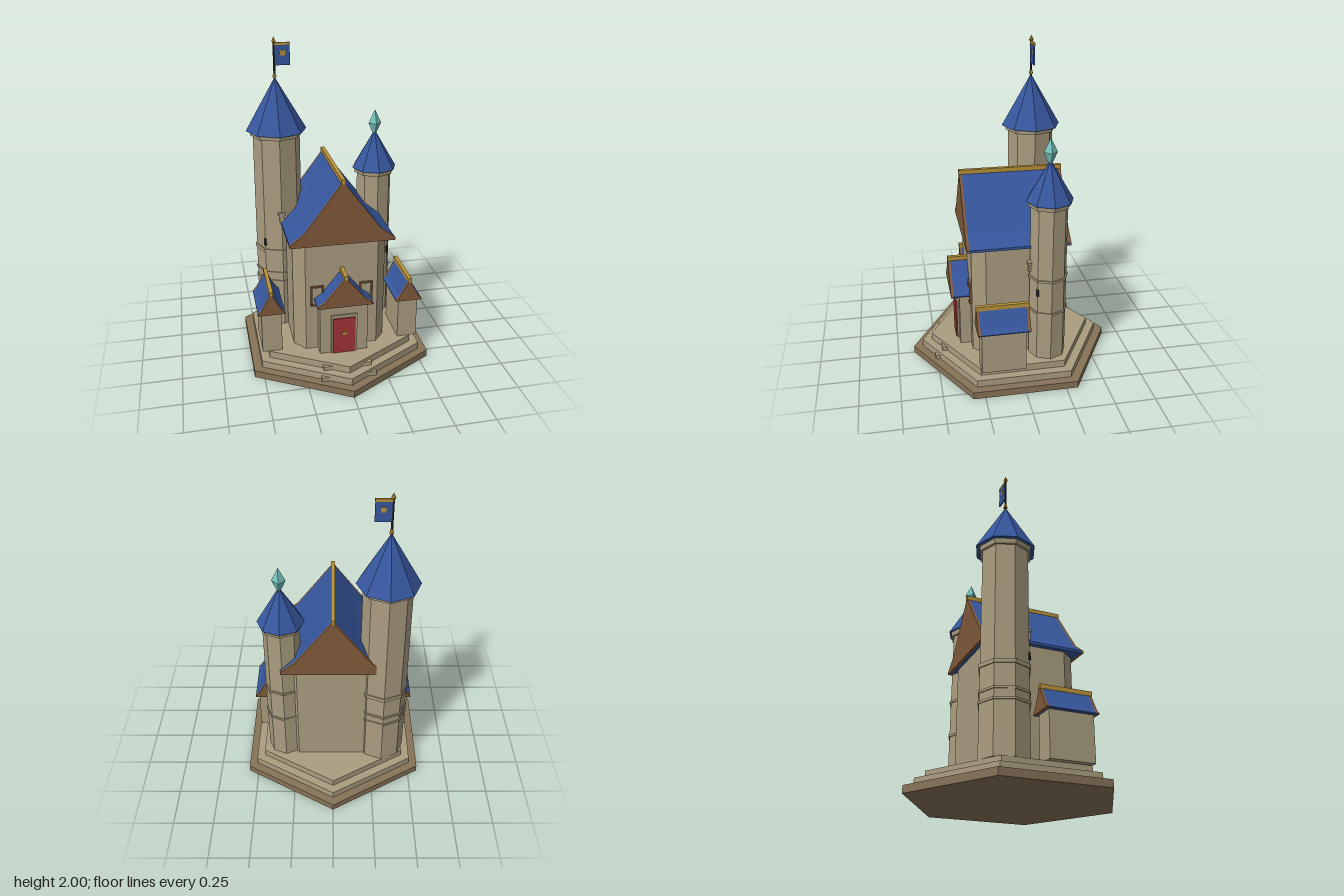
import * as THREE from 'three';

const material = (name, color) => {
  const m = new THREE.MeshStandardMaterial({ color });
  m.name = name;
  return m;
};

export function createModel() {
  const stone = material('tan stone', 0xab9e80);
  const earth = material('dark stone', 0x877358);
  const wood = material('brown wood', 0x805a3a);
  const blue = material('blue tile', 0x36569c);
  const gold = material('gold trim', 0xb9933a);
  const red = material('red door', 0xa23434);
  const teal = material('teal crystal', 0x74c2bd);
  const dark = material('dark iron', 0x262a33);

  const model = new THREE.Group();
  model.name = 'castle';

  const add = (parent, name, geo, mat, x = 0, y = 0, z = 0) => {
    const mesh = new THREE.Mesh(geo, mat);
    mesh.name = name;
    mesh.position.set(x, y, z);
    parent.add(mesh);
    return mesh;
  };
  // Box given by its limits
  const box = (parent, name, mat, x0, x1, y0, y1, z0, z1) =>
    add(parent, name, new THREE.BoxGeometry(x1 - x0, y1 - y0, z1 - z0), mat,
      (x0 + x1) / 2, (y0 + y1) / 2, (z0 + z1) / 2);
  // Faceted upright prism or cone from y0 to y1
  const prism = (parent, name, mat, rTop, rBottom, y0, y1, sides, x = 0, z = 0) => {
    const geo = new THREE.CylinderGeometry(rTop, rBottom, y1 - y0, sides).toNonIndexed();
    geo.computeVertexNormals();
    return add(parent, name, geo, mat, x, (y0 + y1) / 2, z);
  };
  const group = (name, x = 0, z = 0) => {
    const g = new THREE.Group();
    g.name = name;
    g.position.set(x, 0, z);
    model.add(g);
    return g;
  };
  const extrude = (points, depth) => new THREE.ExtrudeGeometry(
    new THREE.Shape(points.map(([x, y]) => new THREE.Vector2(x, y))),
    { depth, bevelEnabled: false });

  // Swept gable roof with wooden ends and a gilded ridge
  const gableRoof = (parent, w, y0, y1, z0, z1, rim) => {
    const side = [[1, 0], [1, 0.04], [0.73, 0.21], [0.43, 0.53]];
    const fractions = [...side, [0, 1], ...side.map(([x, y]) => [-x, y]).reverse()];
    const points = fractions.map(([x, y]) => [x * w, y0 + y * (y1 - y0)]);
    add(parent, 'roofTiles', extrude(points, z1 - z0 - 2 * rim), blue, 0, 0, z0 + rim);
    add(parent, 'backGable', extrude(points, rim), wood, 0, 0, z0);
    add(parent, 'frontGable', extrude(points, rim), wood, 0, 0, z1 - rim);
    box(parent, 'ridge', gold, -0.012, 0.012, y1 - 0.015, y1 + 0.012, z0 - 0.002, z1 + 0.002);
  };

  // Hexagonal terraces and front steps
  const base = group('base');
  prism(base, 'lowerTerrace', earth, 0.645, 0.645, 0, 0.045, 6);
  prism(base, 'middleTerrace', stone, 0.585, 0.585, 0.045, 0.09, 6);
  prism(base, 'upperTerrace', stone, 0.525, 0.525, 0.09, 0.135, 6);
  box(base, 'upperStep', stone, -0.15, 0.15, 0.07, 0.115, 0.3, 0.47);
  box(base, 'lowerStep', stone, -0.17, 0.17, 0.04, 0.07, 0.3, 0.515);

  // Main hall with chamfered corners
  const hall = group('hall');
  const plan = [[0.225, -0.28], [0.29, -0.2], [0.29, 0.2], [0.225, 0.28]];
  const walls = extrude([...plan, ...plan.map(([x, z]) => [-x, z]).reverse()], 0.725);
  walls.rotateX(-Math.PI / 2);
  add(hall, 'hallWalls', walls, stone, 0, 0.135, 0);
  gableRoof(hall, 0.32, 0.855, 1.25, -0.315, 0.315, 0.017);

  // Window frames beside the porch
  for (const s of [-1, 1]) {
    const frame = group('windowFrame', s * 0.153, 0.28);
    for (const t of [-1, 1]) {
      box(frame, 'jamb', wood, t * 0.036 - 0.005, t * 0.036 + 0.005, 0.44, 0.575, 0, 0.012);
      const y = 0.5075 + t * 0.0625;
      box(frame, 'rail', wood, -0.041, 0.041, y - 0.005, y + 0.005, 0, 0.013);
    }
  }

  // Porch and door
  const porch = group('porch');
  box(porch, 'porchWalls', stone, -0.15, 0.15, 0.135, 0.485, 0.27, 0.35);
  gableRoof(porch, 0.172, 0.48, 0.675, 0.26, 0.403, 0.017);
  box(porch, 'doorFrame', stone, -0.082, 0.082, 0.135, 0.4, 0.34, 0.361);
  box(porch, 'door', red, -0.07, 0.07, 0.138, 0.38, 0.36, 0.368);
  box(porch, 'doorHandle', gold, -0.015, 0.015, 0.267, 0.285, 0.367, 0.374);

  // Side annexes
  for (const s of [-1, 1]) {
    const annex = group(s > 0 ? 'leftAnnex' : 'rightAnnex', s * 0.435);
    box(annex, 'annexWalls', stone, -0.062, 0.062, 0.135, 0.41, -0.01, 0.26);
    gableRoof(annex, 0.084, 0.405, 0.55, -0.035, 0.283, 0.017);
  }

  // Octagonal towers
  const tower = (name, x, z, r, top, roofR, roofTop, bands, bracketY, slitSide, slitY) => {
    const g = group(name, x, z);
    prism(g, 'shaft', stone, r, r + 0.004, 0.135, top - 0.03, 8);
    prism(g, 'cornice', stone, r + 0.019, r + 0.015, top - 0.03, top, 8);
    prism(g, 'spire', blue, 0, roofR, top, roofTop, 8);
    for (const [y, h] of bands)
      prism(g, 'band', stone, r + 0.01, r + 0.01, y - h / 2, y + h / 2, 8);
    box(g, 'bracketStem', stone, -0.014, 0.014, bracketY - 0.06, bracketY, r - 0.02, r + 0.01);
    box(g, 'bracketCap', stone, -0.023, 0.023, bracketY - 0.012, bracketY + 0.003, r - 0.02, r + 0.016);
    const d = r * Math.SQRT1_2;
    const slit = add(g, 'arrowSlit', new THREE.BoxGeometry(0.016, 0.046, 0.014), dark,
      slitSide * d, slitY, d);
    slit.rotation.y = slitSide * Math.PI / 4;
    return g;
  };
  const tall = tower('tallTower', -0.315, -0.19, 0.146, 1.435, 0.188, 1.76,
    [[0.663, 0.025], [0.51, 0.014], [0.45, 0.014]], 0.935, -1, 0.725);
  const small = tower('smallTower', 0.31, -0.177, 0.112, 1.155, 0.143, 1.4,
    [[0.67, 0.014], [0.45, 0.014]], 0.76, 1, 0.59);

  // Crystal finial
  prism(small, 'crystalTop', teal, 0, 0.041, 1.445, 1.53, 4);
  prism(small, 'crystalBottom', teal, 0.041, 0.008, 1.37, 1.445, 4);

  // Flag and pole
  prism(tall, 'flagPole', dark, 0.007, 0.007, 1.74, 1.98, 6);
  prism(tall, 'poleCollar', gold, 0.008, 0.014, 1.76, 1.785, 6);
  prism(tall, 'poleTip', gold, 0, 0.014, 1.972, 2, 6);
  prism(tall, 'poleTipBase', gold, 0.014, 0.007, 1.958, 1.972, 6);
  box(tall, 'flag', blue, 0.005, 0.095, 1.83, 1.955, -0.004, 0.004);
  box(tall, 'flagBar', gold, 0, 0.096, 1.95, 1.965, -0.006, 0.006);
  box(tall, 'flagSquare', gold, 0.035, 0.065, 1.888, 1.918, -0.006, 0.006);

  return model;
}
